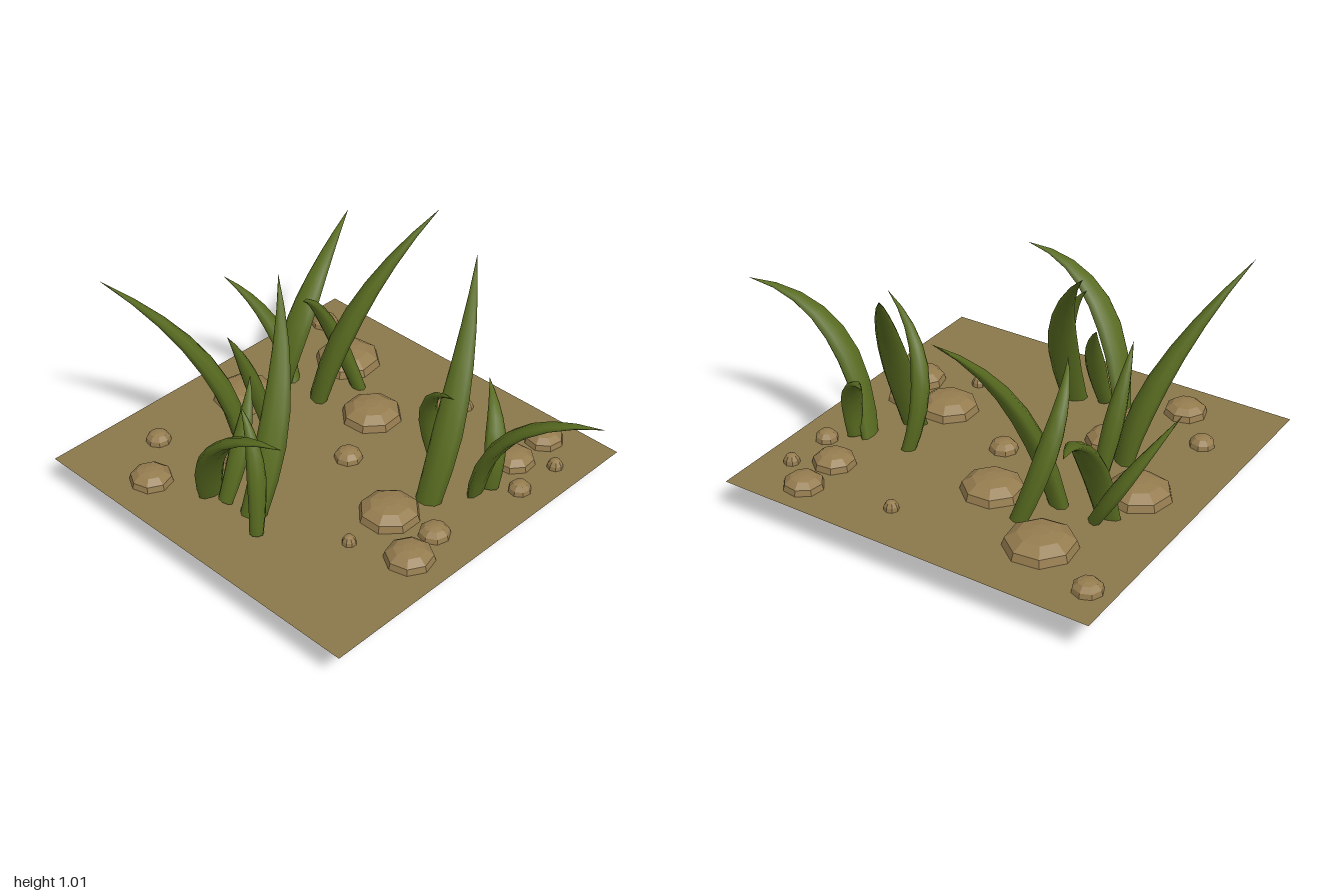
import * as THREE from 'three';

const paint = (name, color, side = THREE.FrontSide) => {
  const m = new THREE.MeshStandardMaterial({ color, side });
  m.name = name;
  return m;
};

const GROUND_Y = 0.14;

// Blades per clump: half width, root, middle, tip
const BACK_CLUMP = [
  [0.065, [-0.53, 0, -0.23], [-0.4, 0.57, -0.37], [-0.25, 1, -0.73]],
  [0.065, [-0.73, 0.07, -0.21], [-0.695, 0.5, -0.37], [-0.83, 0.74, -0.77]],
  [0.05, [-0.42, 0.1, -0.43], [-0.52, 0.5, -0.32], [-0.46, 0.73, -0.12]],
  [0.05, [-0.67, 0.12, -0.26], [-0.82, 0.38, -0.26], [-0.96, 0.63, -0.12]],
];
const MIDDLE_CLUMP = [
  [0.065, [-0.55, 0.02, 0.17], [-0.66, 0.5, 0.26], [-0.89, 0.97, 0.59]],
  [0.045, [-0.53, 0.12, 0.04], [-0.56, 0.42, 0.11], [-0.56, 0.67, 0.22]],
];
const FRONT_CLUMP = [
  [0.065, [-0.15, 0.02, 0.54], [-0.17, 0.55, 0.32], [-0.41, 0.97, 0.06]],
  [0.07, [-0.37, 0.08, 0.51], [-0.16, 0.55, 0.64], [0.2, 0.74, 0.64]],
  [0.045, [-0.27, 0.15, 0.53], [-0.27, 0.42, 0.42], [-0.35, 0.62, 0.29]],
  [0.04, [-0.03, 0.15, 0.58], [-0.07, 0.47, 0.535], [-0.18, 0.67, 0.5]],
];
const SIDE_CLUMP = [
  [0.065, [0.3, 0, -0.03], [0.31, 0.57, -0.22], [0.1, 1, -0.57]],
  [0.07, [0.41, 0.08, -0.25], [0.62, 0.55, -0.2], [0.99, 0.74, -0.29]],
  [0.04, [0.23, 0.1, -0.25], [0.21, 0.5, -0.17], [0.45, 0.73, -0.05]],
  [0.045, [0.46, 0.15, -0.29], [0.43, 0.4, -0.34], [0.27, 0.52, -0.48]],
];

// Each rock: x, z, radius
const ROCKS = [
  [-0.89, -0.67, 0.064], [-0.6, -0.53, 0.15], [0.41, -0.7, 0.087], [0.56, -0.59, 0.035],
  [0.41, -0.5, 0.093], [0.55, -0.37, 0.05], [0.02, -0.64, 0.032], [-0.24, -0.31, 0.135],
  [-0.74, -0.02, 0.142], [-0.11, -0.03, 0.062], [-0.45, 0.26, 0.107], [-0.78, 0.45, 0.055],
  [-0.6, 0.645, 0.094], [0.265, 0.115, 0.132], [0.48, 0.08, 0.068], [0.505, 0.255, 0.106],
  [0.27, 0.355, 0.031],
];

// Tapering leaf swept along an arc through three points, closed at the root
function bladeGeometry(halfWidth, points) {
  const SEG = 8, SIDES = 8;
  const [root, middle, tip] = points.map(p => new THREE.Vector3(...p));
  const control = middle.multiplyScalar(2).addScaledVector(root, -0.5).addScaledVector(tip, -0.5);
  const curve = new THREE.QuadraticBezierCurve3(root, control, tip);
  const lean = tip.clone().sub(root);
  const across = new THREE.Vector3(lean.z, 0, -lean.x).normalize();
  // blades that arch further over are flatter
  const halfThick = halfWidth * (1.1 - 0.75 * Math.hypot(lean.x, lean.z) / lean.y);
  const pos = [], idx = [];
  for (let i = 0; i <= SEG; i++) {
    const t = i / SEG, c = curve.getPoint(t);
    const tangent = curve.getTangent(t);
    const wide = across.clone().addScaledVector(tangent, -across.dot(tangent)).normalize();
    const thick = new THREE.Vector3().crossVectors(tangent, wide);
    // widens slightly above the root, then narrows to a point
    const size = t < 0.4 ? 0.75 + 0.25 * Math.sin(t / 0.4 * Math.PI / 2)
      : Math.max(0.005, 1 - Math.pow((t - 0.4) / 0.6, 1.35));
    for (let j = 0; j < SIDES; j++) {
      const a = j / SIDES * Math.PI * 2;
      const v = c.clone()
        .addScaledVector(wide, Math.cos(a) * halfWidth * size)
        .addScaledVector(thick, Math.sin(a) * halfThick * size);
      pos.push(v.x, v.y, v.z);
      if (i < SEG) {
        const p = i * SIDES + j, q = i * SIDES + (j + 1) % SIDES;
        idx.push(p, q, p + SIDES, q, q + SIDES, p + SIDES);
      }
    }
  }
  // root cap with its own vertices for a crisp edge
  const start = pos.length / 3;
  pos.push(...pos.slice(0, SIDES * 3));
  for (let j = 1; j < SIDES - 1; j++) idx.push(start, start + j + 1, start + j);
  const g = new THREE.BufferGeometry();
  g.setAttribute('position', new THREE.Float32BufferAttribute(pos, 3));
  g.setIndex(idx);
  g.computeVertexNormals();
  return g;
}

// How far a rock's underside sits below the ground sheet
const rockDepth = r => 0.008 + 0.13 * r;

// Faceted low dome with a tucked-in lower rim
function rockGeometry(r) {
  const high = 0.03 + 0.3 * r;
  const profile = [[0.9, -rockDepth(r)], [1, 0], [0.93, high * 0.45], [0.62, high * 0.85], [0.25, high * 0.98], [0, high]]
    .map(([x, y]) => new THREE.Vector2(x * r, y));
  const g = new THREE.LatheGeometry(profile, 8).toNonIndexed();
  g.computeVertexNormals();
  return g;
}

export function createModel() {
  const soil = paint('soil', 0x8a774a, THREE.DoubleSide);
  const stone = paint('stone', 0x957c4f);
  const hollow = paint('hollow', 0x000000);
  const leaf = paint('leaf', 0x586b20);
  const model = new THREE.Group();
  model.name = 'grassPatch';
  const addGroup = name => {
    const group = new THREE.Group();
    group.name = name;
    model.add(group);
    return group;
  };
  const add = (parent, name, geometry, material) => {
    const mesh = new THREE.Mesh(geometry, material);
    mesh.name = name;
    parent.add(mesh);
    return mesh;
  };

  // Ground sheet
  const ground = add(model, 'ground', new THREE.PlaneGeometry(1.69, 1.69).rotateX(-Math.PI / 2), soil);
  ground.position.set(-0.155, GROUND_Y, -0.005);

  // Rocks with dark undersides
  ROCKS.forEach(([x, z, r], i) => {
    const rock = addGroup('rock' + (i + 1));
    add(rock, 'rockDome', rockGeometry(r), stone);
    const base = add(rock, 'rockUnderside', new THREE.CircleGeometry(0.9 * r, 8).rotateX(Math.PI / 2), hollow);
    base.position.y = -rockDepth(r);
    rock.position.set(x, GROUND_Y, z);
    rock.rotation.y = i * 1.3;
  });

  // Grass blades
  const addClump = (name, blades) => {
    const clump = addGroup(name);
    blades.forEach(([w, ...pts], i) => add(clump, 'grassBlade' + (i + 1), bladeGeometry(w, pts), leaf));
  };
  addClump('backClump', BACK_CLUMP);
  addClump('middleClump', MIDDLE_CLUMP);
  addClump('frontClump', FRONT_CLUMP);
  addClump('sideClump', SIDE_CLUMP);

  return model;
}
